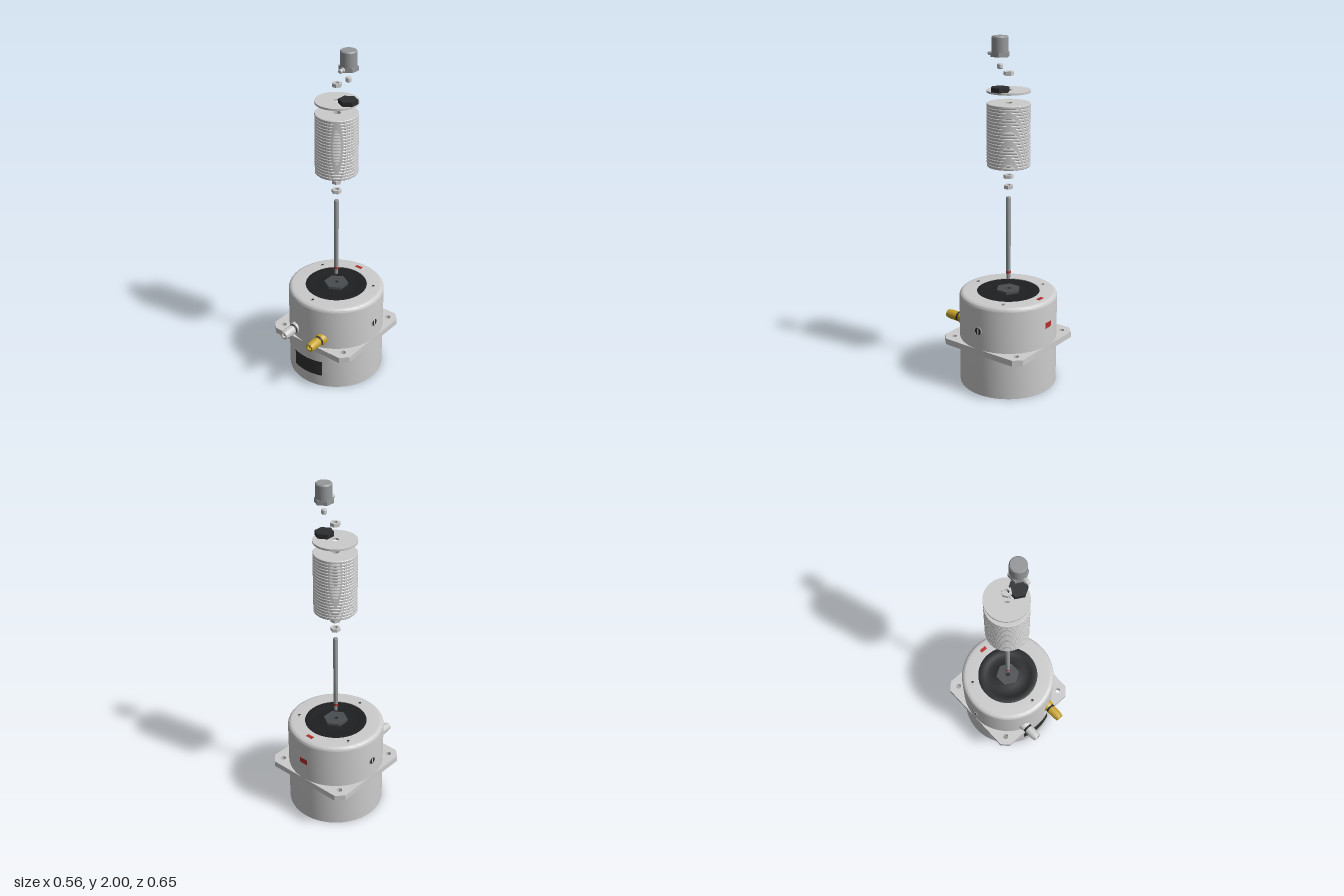
import * as THREE from 'three';
import { toCreasedNormals } from 'three/addons/utils/BufferGeometryUtils.js';

const mat = (color, extra = {}) => new THREE.MeshStandardMaterial({ color, ...extra });
const grey = mat(0xcccccc);
const steel = mat(0x95989a);
const dark = mat(0x2b2d2f);
const rubber = mat(0x1d1f21);
const gold = mat(0xc9a62f);
const red = mat(0xb5302a);
const CZ = -0.047; // z of the main axis

export function createModel() {
  const model = new THREE.Group();

  const add = (name, geometry, material, x = 0, y = 0, z = 0, parent = model) => {
    const mesh = new THREE.Mesh(geometry, material);
    mesh.name = name;
    mesh.position.set(x, y, z);
    parent.add(mesh);
    return mesh;
  };
  // Revolved profile of [radius, height] pairs, listed bottom to top on the outside
  const lathe = (points, segments = 48) => toCreasedNormals(
    new THREE.LatheGeometry(points.map(([r, y]) => new THREE.Vector2(r, y)), segments), 0.6);
  const ring = (inner, outer, y0, y1, segments) =>
    lathe([[inner, y0], [outer, y0], [outer, y1], [inner, y1], [inner, y0]], segments);
  const circleHole = (x, y, r) => {
    const path = new THREE.Path();
    path.absarc(x, y, r, 0, Math.PI * 2, true);
    return path;
  };
  // Upright extrusion of a plan shape: shape y becomes -z
  const slab = (shape, height) => new THREE.ExtrudeGeometry(shape,
    { depth: height, bevelEnabled: false, curveSegments: 20 }).rotateX(-Math.PI / 2);
  // Hexagonal plate with an optional bore; turn 0 puts corners on the z axis
  const hex = (r, height, bore = 0, turn = 0) => {
    const corners = [];
    for (let i = 0; i < 6; i++) {
      const a = (i + 0.5) * Math.PI / 3 + turn;
      corners.push(new THREE.Vector2(Math.cos(a) * r, Math.sin(a) * r));
    }
    const shape = new THREE.Shape(corners);
    if (bore) shape.holes.push(circleHole(0, 0, bore));
    return slab(shape, height);
  };

  // Main body with rounded top edge and a central opening
  const R = 0.28;
  const profile = [[0, 0], [R, 0], [R, 0.525]];
  for (let i = 1; i <= 6; i++) {
    const a = i / 6 * Math.PI / 2;
    profile.push([R - 0.025 + 0.025 * Math.cos(a), 0.525 + 0.025 * Math.sin(a)]);
  }
  profile.push([0.18, 0.55], [0.18, 0.53]);
  add('body', lathe(profile, 96), grey, 0, 0, CZ);

  // Mounting flange with clipped corners and four bolt holes
  const c = R - 0.043;
  const plan = new THREE.Shape([[c, -R], [R, -c], [R, c], [c, R], [-c, R], [-R, c], [-R, -c], [-c, -R]]
    .map(([x, y]) => new THREE.Vector2(x, y)));
  for (const x of [-0.223, 0.223]) for (const y of [-0.223, 0.223]) plan.holes.push(circleHole(x, y, 0.016));
  add('mountingFlange', slab(plan, 0.035), grey, 0, 0.245, CZ);

  // Flexible diaphragm and its hexagonal hub
  add('diaphragm', lathe([[0.181, 0.546], [0.165, 0.549], [0.14, 0.545], [0.11, 0.541], [0.08, 0.545], [0, 0.547]], 64),
    rubber, 0, 0, CZ);
  add('hub', hex(0.071, 0.018, 0.014), mat(0x4a4d50), 0, 0.543, CZ);

  // Three socket screws around the top
  for (let i = 0; i < 3; i++) {
    const a = i * Math.PI * 2 / 3;
    const x = Math.sin(a) * 0.219, z = CZ + Math.cos(a) * 0.219;
    add('topScrew', ring(0.008, 0.014, 0.54, 0.552, 24), grey, x, 0, z);
    add('topScrewSocket', new THREE.CylinderGeometry(0.008, 0.008, 0.01, 6), dark, x, 0.546, z);
  }

  // Socket with a slotted pin on each side
  for (const s of [-1, 1]) {
    const socket = new THREE.Group();
    socket.name = 'sidePort';
    socket.position.set(0, 0.39, CZ);
    socket.rotation.z = -s * Math.PI / 2;
    model.add(socket);
    add('portRim', ring(0.021, 0.027, 0.27, 0.2815, 32), grey, 0, 0, 0, socket);
    add('portRecess', new THREE.CylinderGeometry(0.021, 0.021, 0.01, 32), dark, 0, 0.2756, 0, socket);
    add('portPin', new THREE.BoxGeometry(0.034, 0.01, 0.009), grey, 0, 0.2762, 0, socket);
  }

  // Curved label on the front, red marks on the back and top
  const patch = (r, height, half, mid) => new THREE.CylinderGeometry(r, r, height, 16, 1, true, mid - half, half * 2);
  add('frontLabel', patch(0.2815, 0.1, 0.364, 0), mat(0x2f322f, { side: THREE.DoubleSide }), 0, 0.124, CZ);
  add('backMark', patch(0.2815, 0.034, 0.095, Math.PI), mat(0xb5302a, { side: THREE.DoubleSide }), 0, 0.408, CZ);
  add('topMark', new THREE.BoxGeometry(0.043, 0.004, 0.02), red, 0, 0.55, -0.27);

  // Two front connectors
  for (const [x, material] of [[-0.095, grey], [0.095, gold]]) {
    const plug = new THREE.Group();
    plug.name = 'connector';
    plug.position.set(x, 0.34, 0);
    plug.rotation.x = Math.PI / 2;
    model.add(plug);
    add('connectorCollar', lathe([[0, 0.19], [0.034, 0.19], [0.034, 0.226], [0.029, 0.235], [0, 0.235]], 32), material, 0, 0, 0, plug);
    add('connectorBand', ring(0.01, 0.0285, 0.235, 0.248, 32), dark, 0, 0, 0, plug);
    add('connectorBarrel', lathe([[0.01, 0.248], [0.028, 0.248], [0.028, 0.298], [0.0235, 0.326], [0.014, 0.326], [0.014, 0.3], [0, 0.3]], 32),
      material, 0, 0, 0, plug);
    add('connectorBore', new THREE.CylinderGeometry(0.0138, 0.0138, 0.004, 24), dark, 0, 0.301, 0, plug);
    add('connectorPin', new THREE.CylinderGeometry(0.006, 0.006, 0.022, 16), material, 0, 0.31, 0, plug);
  }

  // Threaded rod with a red band near its foot
  add('rod', lathe([[0, 0.62], [0.011, 0.62], [0.0115, 0.65], [0.0135, 0.652], [0.0135, 1.102], [0.011, 1.106], [0, 1.106]], 24),
    steel, 0, 0, CZ);
  add('rodBand', ring(0.012, 0.0142, 0.655, 0.667, 24), red, 0, 0, CZ);

  // Loose nuts along the axis
  for (const [y, turn] of [[1.155, 0], [1.214, Math.PI / 6], [1.784, Math.PI / 6]])
    add('nut', hex(0.028, 0.02, 0.0135, turn), grey, 0, y, CZ);

  // Stack of weight discs
  const count = 20, pitch = 0.35 / count, b = 0.003;
  const disc = lathe([[0.022, 0], [0.12 - b, 0], [0.12, b], [0.12, pitch - b], [0.12 - b, pitch], [0.022, pitch], [0.022, 0]], 64);
  for (let i = 0; i < count; i++) add('weightDisc', disc, grey, 0, 1.285 + i * pitch, CZ);

  // Cap plate with the sensor pad
  add('capPlate', ring(0.02, 0.12, 1.694, 1.705, 64), grey, 0, 0, CZ);
  add('sensorPad', hex(0.053, 0.025), dark, 0.076, 1.705, CZ);

  // Small mounting stud
  add('sensorStud', lathe([[0, 1.828], [0.013, 1.828], [0.016, 1.832], [0.016, 1.851], [0.013, 1.855], [0, 1.855]], 24),
    grey, 0.076, 0, CZ);

  // Sensor with hexagonal base and side connector
  add('sensorBase', hex(0.053, 0.024, 0.014), steel, 0.076, 1.892, CZ);
  add('sensorBody', lathe([[0, 1.912], [0.045, 1.912], [0.045, 1.994], [0.04, 2], [0, 2]]), steel, 0.076, 0, CZ);
  const lead = new THREE.Group();
  lead.name = 'sensorConnector';
  lead.position.set(0.076, 1.904, CZ);
  lead.rotation.x = Math.PI / 2;
  model.add(lead);
  add('connectorNut', new THREE.CylinderGeometry(0.014, 0.014, 0.02, 6), grey, 0, 0.05, 0, lead);
  add('connectorThread', lathe([[0, 0.05], [0.011, 0.05], [0.011, 0.074], [0.009, 0.077], [0, 0.077]], 20), grey, 0, 0, 0, lead);

  return model;
}
